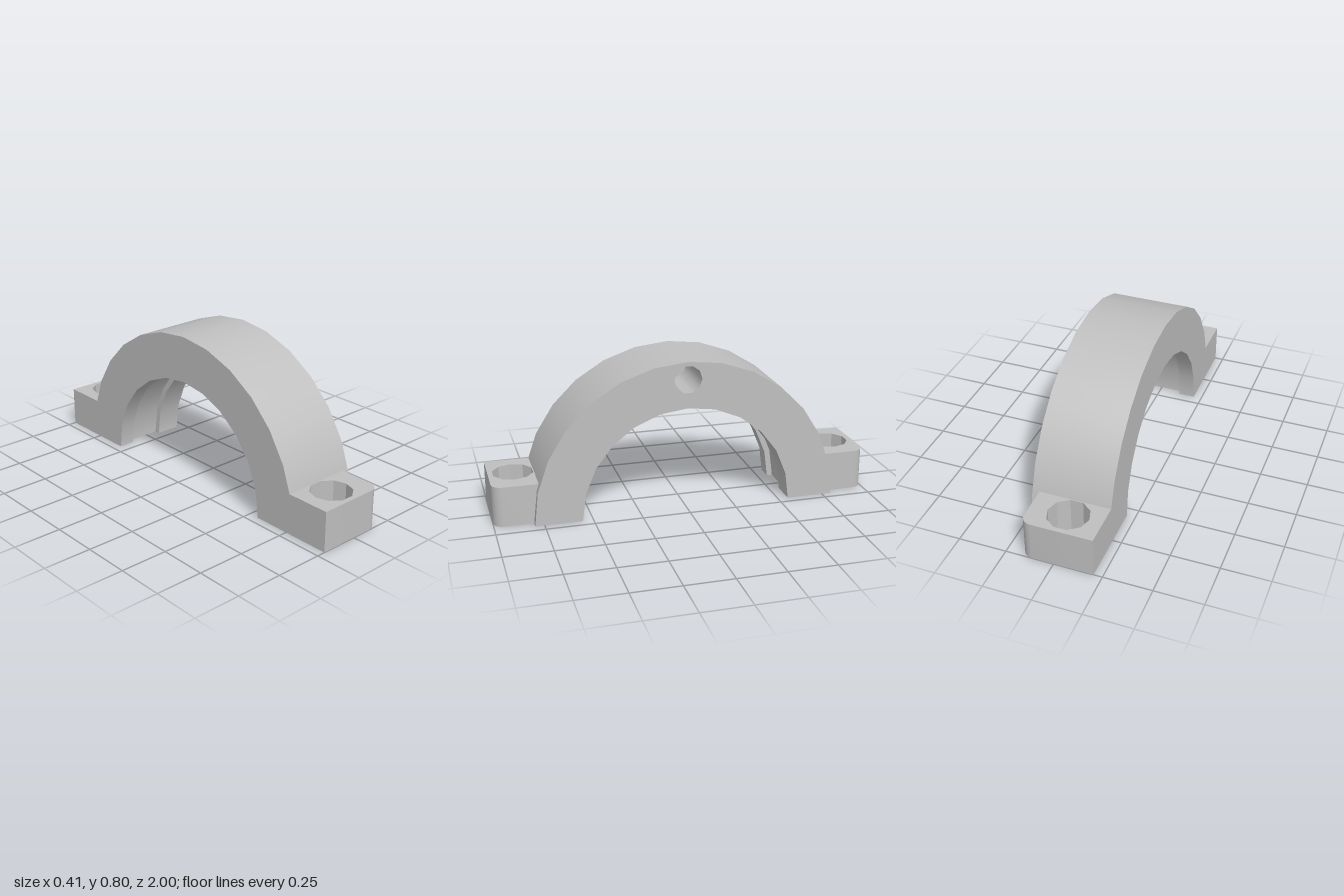
import * as THREE from 'three';
import { toCreasedNormals } from 'three/addons/utils/BufferGeometryUtils.js';

const HALF_W = 0.205, R_OUT = 0.798, R_IN = 0.555, R_GROOVE = 0.585;
const EAR_TOP = 0.213, BOLT = { x: -0.03, z: 0.872, r: 0.107 };
const PIN = { y: 0.705, r: 0.073, end: -0.085 };
const v = (x, y) => new THREE.Vector2(x, y);

// points of an arc or polygon
function arc(cx, cy, r, from, to, n) {
  return Array.from({ length: n + 1 }, (_, i) => {
    const a = from + (to - from) * i / n;
    return v(cx + r * Math.cos(a), cy + r * Math.sin(a));
  });
}

// lathe about the x axis; each profile point is (radius, x)
function latheX(points, segments, start, length) {
  return new THREE.LatheGeometry(points, segments, start, length).rotateZ(-Math.PI / 2);
}

export function createModel() {
  const group = new THREE.Group();
  const metal = new THREE.MeshStandardMaterial({ color: 0xbfbfbf, side: THREE.DoubleSide });
  metal.name = 'grey metal';
  const add = (name, geometry) => {
    const mesh = new THREE.Mesh(geometry, metal);
    mesh.name = name;
    group.add(mesh);
    return mesh;
  };

  // outer arch surface: 14 flat chords, scooped where the bolt holes cut its feet
  const columns = [-HALF_W, BOLT.x - 0.074, BOLT.x - 0.033, BOLT.x + 0.033, BOLT.x + 0.074, HALF_W];
  const outer = latheX(columns.map(x => v(R_OUT, x)), 56, Math.PI, Math.PI);
  const pos = outer.attributes.position, nor = outer.attributes.normal;
  const step = Math.PI / 14;
  for (let i = 0; i < pos.count; i++) {
    const row = Math.floor(i / columns.length), col = i % columns.length;
    const a = row * Math.PI / 56;
    const r = R_OUT * Math.cos(step / 2) / Math.cos((row % 4) * step / 4 - step / 2);
    let y = r * Math.sin(a), z = -r * Math.cos(a);
    if ((col === 2 || col === 3) && Math.abs(z) > 0.768) {
      z = Math.sign(z) * 0.768;
      nor.setXYZ(i, 0, 0, Math.sign(z));
    }
    pos.setXYZ(i, pos.getX(i), y, z);
  }
  add('archOuterSurface', outer);

  // bore with a wide shallow groove, one band per profile segment for crisp edges
  const bore = [v(R_IN, HALF_W), v(R_IN, 0.07), v(R_GROOVE, 0.07),
    v(R_GROOVE, -0.12), v(R_IN, -0.12), v(R_IN, -HALF_W)];
  for (let i = 0; i < bore.length - 1; i++) {
    add('boreBand' + (i + 1), latheX([bore[i], bore[i + 1]], 12, Math.PI, Math.PI));
  }

  // flat arch sides, the left one pierced by the pin hole
  for (const s of [1, -1]) {
    const shape = new THREE.Shape([
      ...arc(0, 0, R_OUT, 0, Math.PI, 14), ...arc(0, 0, R_IN, Math.PI, 0, 12)]);
    if (s > 0) shape.holes.push(new THREE.Path(arc(0, PIN.y, PIN.r, 0, Math.PI * 2, 10).slice(0, 10)));
    const side = new THREE.ShapeGeometry(shape).rotateY(s * Math.PI / 2).translate(s * HALF_W, 0, 0);
    add(s > 0 ? 'leftSide' : 'rightSide', side);
  }

  // blind pin hole
  const pin = [v(PIN.r, HALF_W), v(PIN.r, PIN.end), v(0, PIN.end)];
  for (let i = 0; i < 2; i++) {
    add(i ? 'pinHoleFloor' : 'pinHoleWall', latheX([pin[i], pin[i + 1]], 10, 0, Math.PI * 2).translate(0, PIN.y, 0));
  }

  for (const s of [1, -1]) {
    const end = s > 0 ? 'front' : 'back';

    // underside of the arch foot
    const foot = [[HALF_W, R_IN], [0.07, R_IN], [0.07, R_GROOVE], [-0.12, R_GROOVE],
      [-0.12, R_IN], [-HALF_W, R_IN], [-HALF_W, R_OUT], [BOLT.x - 0.074, R_OUT],
      [BOLT.x - 0.033, 0.768], [BOLT.x + 0.033, 0.768], [BOLT.x + 0.074, R_OUT], [HALF_W, R_OUT]];
    add(end + 'FootUnderside', new THREE.ShapeGeometry(
      new THREE.Shape(foot.map(([x, z]) => v(x, s * z)))).rotateX(Math.PI / 2));

    // bolt ear with one rounded corner and a through hole
    const flip = points => points.map(p => v(p.x, -s * p.y));
    const ear = new THREE.Shape(flip([v(-HALF_W, 0.765), v(0.167, 0.765),
      ...arc(0.112, 0.945, 0.055, 0, Math.PI / 2, 6), v(-HALF_W, 1)]));
    ear.holes.push(new THREE.Path(flip(arc(BOLT.x, BOLT.z, BOLT.r, 0, Math.PI * 2, 10).slice(0, 10))));
    const block = new THREE.ExtrudeGeometry(ear, { depth: EAR_TOP, bevelEnabled: false });
    add(end + 'BoltEar', toCreasedNormals(block.rotateX(-Math.PI / 2), 0.5));
  }
  return group;
}
